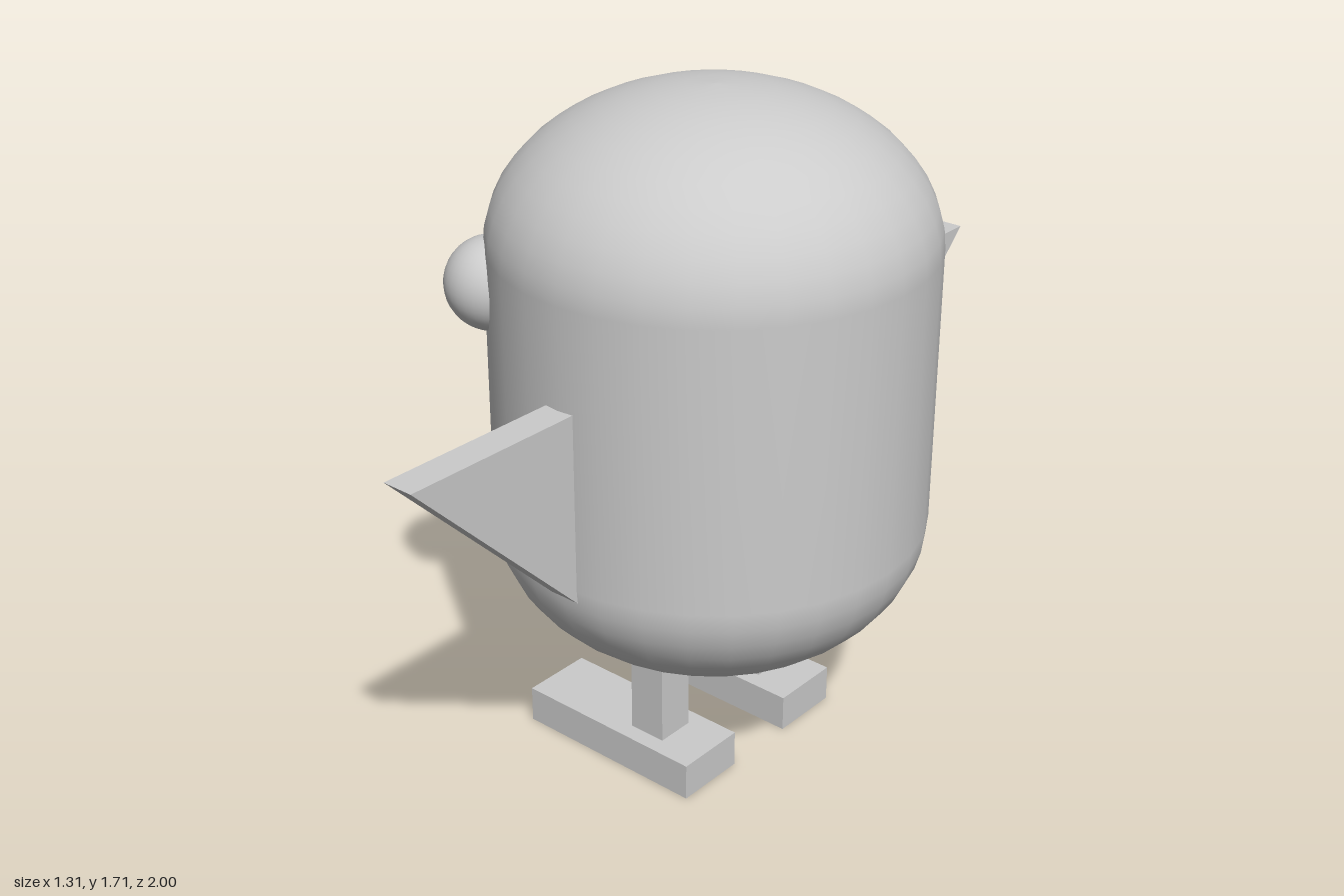
import * as THREE from 'three';

const material = new THREE.MeshStandardMaterial({ color: 0xcccccc });
const CENTRE_X = 0.125;

function addPart(parent, name, geometry, x, y, z) {
  const mesh = new THREE.Mesh(geometry, material);
  mesh.name = name;
  mesh.position.set(x, y, z);
  parent.add(mesh);
  return mesh;
}

// Cylinder with flattened elliptical domes at both ends
function bodyGeometry(radius, dome, low, high) {
  const steps = 12;
  const profile = [];
  for (let i = 0; i <= steps; i++) {
    const a = (i / steps) * Math.PI / 2;
    profile.push(new THREE.Vector2(radius * Math.sin(a), low - dome * Math.cos(a)));
  }
  for (let i = 0; i <= steps; i++) {
    const a = (i / steps) * Math.PI / 2;
    profile.push(new THREE.Vector2(radius * Math.cos(a), high + dome * Math.sin(a)));
  }
  return new THREE.LatheGeometry(profile, 32);
}

// Triangular slab reaching out along z on the given side
function wingGeometry(side) {
  const thickness = 0.08;
  const shape = new THREE.Shape();
  shape.moveTo(-side * 0.49, 0.585);
  shape.lineTo(-side * 1, 1.095);
  shape.lineTo(-side * 0.49, 1.095);
  shape.closePath();
  const geometry = new THREE.ExtrudeGeometry(shape, { depth: thickness, bevelEnabled: false });
  geometry.translate(0, 0, -thickness / 2);
  geometry.rotateY(Math.PI / 2);
  return geometry;
}

export function createModel() {
  const model = new THREE.Group();
  model.name = 'bird';

  addPart(model, 'body', bodyGeometry(0.53, 0.37, 0.65, 1.34), CENTRE_X, 0, 0);

  // Beak points along -x, its base sunk into the body
  const beak = addPart(model, 'beak', new THREE.ConeGeometry(0.147, 0.298, 32), -0.509, 1.125, 0);
  beak.rotation.z = Math.PI / 2;

  // The bird looks along -x, so its paired parts mirror across z
  for (const side of [1, -1]) {
    const prefix = side > 0 ? 'near' : 'far';
    addPart(model, prefix + 'Eye', new THREE.SphereGeometry(0.113, 32, 20), -0.239, 1.248, side * 0.36);
    addPart(model, prefix + 'Wing', wingGeometry(side), CENTRE_X, 0, 0);
    addPart(model, prefix + 'Leg', new THREE.BoxGeometry(0.1, 0.33, 0.1), CENTRE_X, 0.235, side * 0.193);
    addPart(model, prefix + 'Foot', new THREE.BoxGeometry(0.522, 0.095, 0.188), 0.029, 0.0475, side * 0.193);
  }

  return model;
}
